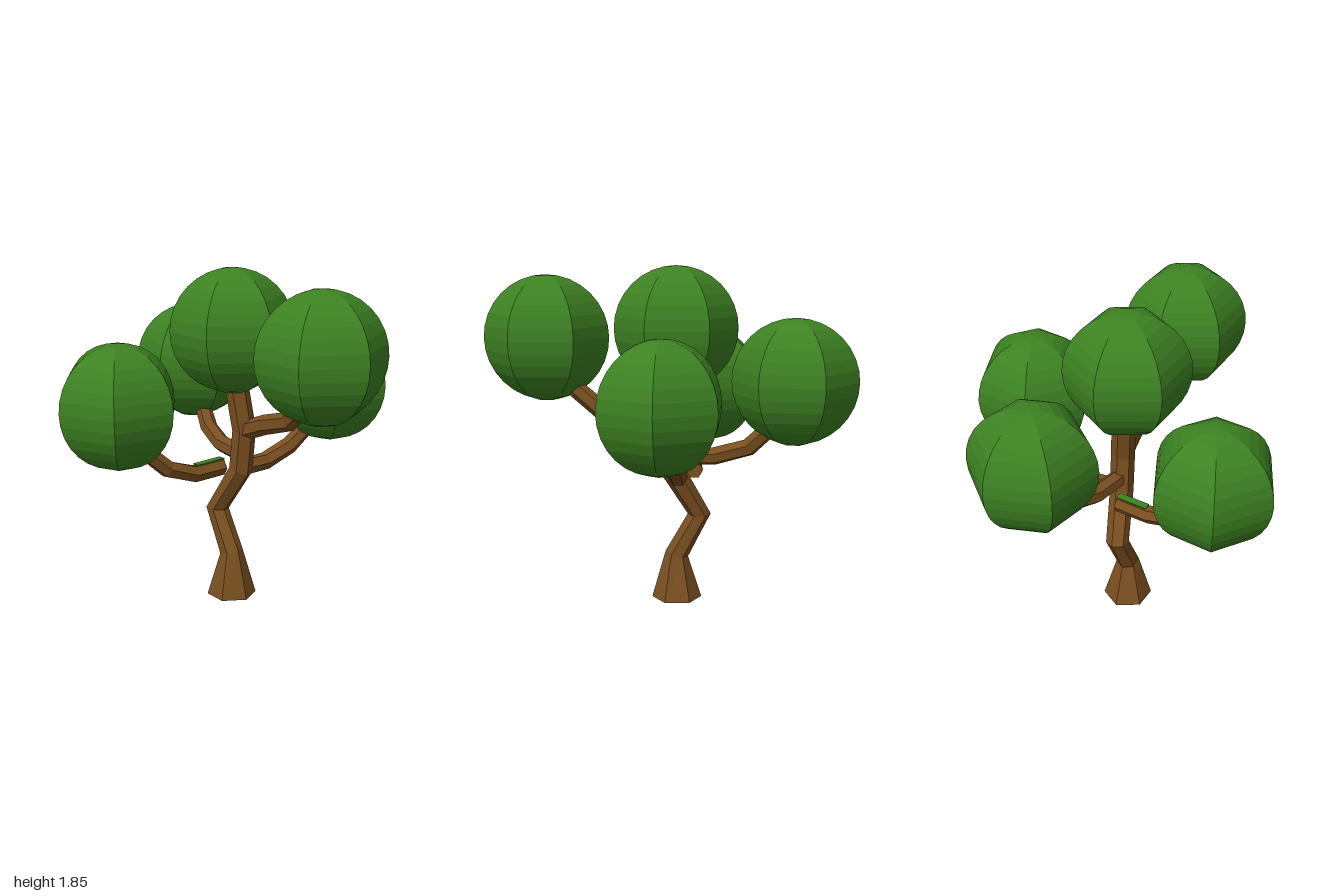
import * as THREE from 'three';

const SIDES = 6;
const bark = new THREE.MeshStandardMaterial({ color: 0x7a4f20, flatShading: true });
const leaf = new THREE.MeshStandardMaterial({ color: 0x3d8222, flatShading: true });

// Six-sided limb swept along points [x, y, z, radius], mitred at each bend
function limb(name, points) {
  const path = points.map(([x, y, z]) => new THREE.Vector3(x, y, z));
  const up = new THREE.Vector3(0, 1, 0);
  const last = path.length - 1;
  const positions = [];
  const index = [];
  path.forEach((p, k) => {
    const tangent = new THREE.Vector3();
    if (k > 0) tangent.add(p.clone().sub(path[k - 1]).normalize());
    if (k < last) tangent.add(path[k + 1].clone().sub(p).normalize());
    const q = new THREE.Quaternion().setFromUnitVectors(up, tangent.normalize());
    for (let i = 0; i < SIDES; i++) {
      const a = (i / SIDES) * Math.PI * 2;
      const v = new THREE.Vector3(Math.sin(a), 0, Math.cos(a));
      v.multiplyScalar(points[k][3]).applyQuaternion(q).add(p);
      positions.push(v.x, v.y, v.z);
    }
  });
  for (let k = 0; k < last; k++) {
    for (let i = 0; i < SIDES; i++) {
      const a = k * SIDES + i;
      const b = k * SIDES + ((i + 1) % SIDES);
      index.push(a, b, b + SIDES, a, b + SIDES, a + SIDES);
    }
  }
  // End caps
  for (let i = 1; i < SIDES - 1; i++) {
    const t = last * SIDES;
    index.push(0, i + 1, i, t, t + i, t + i + 1);
  }
  const geometry = new THREE.BufferGeometry();
  geometry.setAttribute('position', new THREE.Float32BufferAttribute(positions, 3));
  geometry.setIndex(index);
  geometry.computeVertexNormals();
  const mesh = new THREE.Mesh(geometry, bark);
  mesh.name = name;
  return mesh;
}

// Ball of leaves with six vertical facets; turn is in degrees
function foliage(name, x, y, z, turn) {
  const mesh = new THREE.Mesh(new THREE.SphereGeometry(0.338, SIDES, 16), leaf);
  mesh.name = name;
  mesh.position.set(x, y, z);
  mesh.rotation.y = THREE.MathUtils.degToRad(turn);
  return mesh;
}

export function createModel() {
  const tree = new THREE.Group();
  tree.name = 'tree';

  // Crooked trunk with a flared foot
  tree.add(limb('trunk', [
    [-0.025, 0, -0.045, 0.138], [-0.025, 0.25, -0.045, 0.065], [-0.03, 0.48, -0.17, 0.064],
    [0.025, 0.73, -0.025, 0.066], [0.03, 0.96, 0, 0.066], [0, 1.25, -0.04, 0.065],
  ]));

  // Branches, each ending inside its ball of leaves
  tree.add(limb('frontBranch', [
    [0.03, 0.95, -0.02, 0.055], [0.05, 1.02, 0.16, 0.055], [0.05, 1.08, 0.37, 0.052],
    [0.03, 1.18, 0.49, 0.05], [0.01, 1.3, 0.58, 0.045],
  ]));
  tree.add(limb('backBranch', [
    [0.03, 0.82, -0.02, 0.05], [0.06, 0.825, -0.25, 0.05], [0.1, 0.88, -0.43, 0.05],
    [0.13, 0.98, -0.53, 0.047], [0.15, 1.08, -0.6, 0.042],
  ]));
  tree.add(limb('leftBranch', [
    [0.02, 0.74, -0.03, 0.05], [0.22, 0.74, -0.05, 0.05], [0.38, 0.81, -0.03, 0.05],
    [0.48, 0.91, 0, 0.047], [0.56, 1.02, 0.02, 0.042],
  ]));
  tree.add(limb('rightBranch', [
    [-0.02, 0.73, -0.14, 0.05], [-0.21, 0.72, -0.14, 0.05], [-0.37, 0.77, -0.16, 0.05],
    [-0.47, 0.86, -0.18, 0.047], [-0.55, 0.96, -0.2, 0.042],
  ]));

  // Thin strip of moss on top of the right branch
  const moss = new THREE.Mesh(new THREE.BoxGeometry(0.18, 0.006, 0.045), leaf);
  moss.name = 'moss';
  moss.position.set(-0.11, 0.774, -0.14);
  moss.rotation.z = 0.05;
  tree.add(moss);

  // Crown
  tree.add(foliage('topFoliage', -0.02, 1.512, -0.04, 30));
  tree.add(foliage('frontFoliage', 0, 1.464, 0.66, 30));
  tree.add(foliage('backFoliage', 0.163, 1.242, -0.667, 20));
  tree.add(foliage('leftFoliage', 0.618, 1.17, 0.045, -6));
  tree.add(foliage('rightFoliage', -0.625, 1.14, -0.235, -4.5));
  return tree;
}
